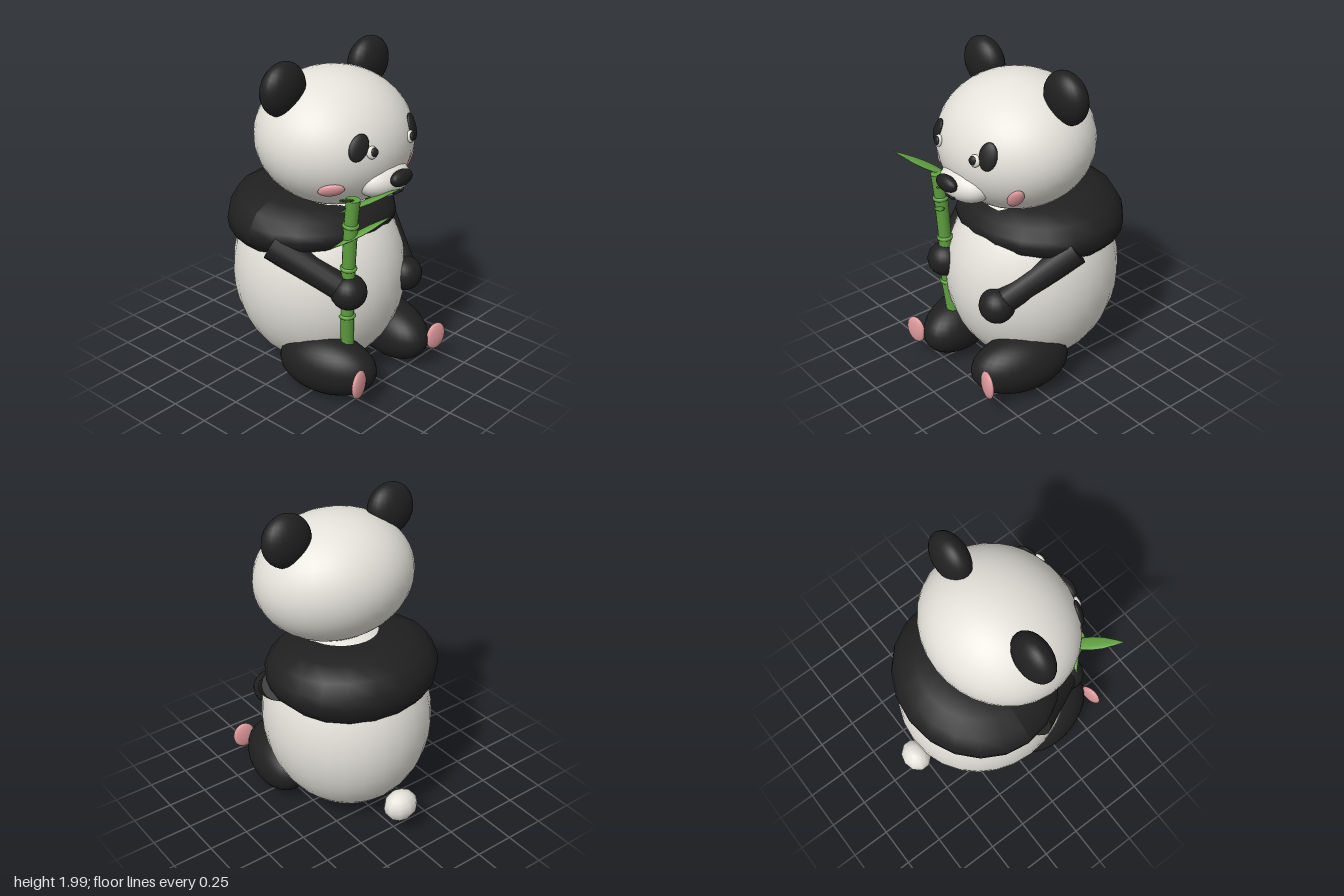
import * as THREE from 'three';

const V = (x, y, z) => new THREE.Vector3(x, y, z);
const paint = (name, color) => {
  const m = new THREE.MeshStandardMaterial({ color });
  m.name = name;
  return m;
};

export function createModel() {
  const white = paint('creamWhite', 0xe4e2da);
  const black = paint('softBlack', 0x202020);
  const pink = paint('pink', 0xe09a9e);
  const green = paint('bambooGreen', 0x5f9f40);
  const root = new THREE.Group();
  root.name = 'panda';

  const add = (name, geometry, material, position = V(0, 0, 0)) => {
    const mesh = new THREE.Mesh(geometry, material);
    mesh.name = name;
    mesh.position.copy(position);
    root.add(mesh);
    return mesh;
  };
  const blob = (name, material, position, radii, w = 28, h = 20) =>
    add(name, new THREE.SphereGeometry(1, w, h).scale(...radii), material, position);

  // Cylinder running from a to b
  const limb = (name, material, a, b, ra, rb, sides = 16) => {
    const d = b.clone().sub(a);
    const mesh = add(name, new THREE.CylinderGeometry(rb, ra, d.length(), sides), material,
      a.clone().add(b).multiplyScalar(0.5));
    mesh.quaternion.setFromUnitVectors(V(0, 1, 0), d.normalize());
    return mesh;
  };

  // Body and tail
  blob('body', white, V(-0.015, 0.62, 0), [0.54, 0.61, 0.51]);
  blob('tail', white, V(-0.56, 0.225, 0), [0.09, 0.098, 0.11], 10, 8);

  // Dark shoulder band: a rounded ring, thinner towards the chest
  const profile = [[0, -0.14], [0.3, -0.155], [0.42, -0.14], [0.475, -0.08], [0.485, -0.02],
    [0.475, 0.03], [0.43, 0.1], [0.33, 0.15], [0.2, 0.17], [0, 0.175]].map(p => new THREE.Vector2(...p));
  const band = new THREE.LatheGeometry(profile, 20);
  const bp = band.attributes.position;
  for (let i = 0; i < bp.count; i++) {
    bp.setY(i, bp.getY(i) * (1 - 0.5 * bp.getX(i)));
    bp.setZ(i, bp.getZ(i) * 1.1);
  }
  band.computeVertexNormals();
  add('shoulderBand', band, black, V(-0.07, 1.01, 0));

  // Head, tipped slightly forward
  const headCentre = V(0.105, 1.51, 0), headRadii = V(0.445, 0.382, 0.488), headTilt = -0.25;
  blob('head', white, headCentre, headRadii.toArray(), 32, 24).rotation.z = headTilt;

  // Flat detail laid on the face at height y and side z
  const onFace = (name, material, y, z, radii, spin = 0, lift = 0) => {
    const axis = V(0, 0, 1);
    const local = x => V(x, y, z).sub(headCentre).applyAxisAngle(axis, -headTilt).divide(headRadii);
    let lo = 0.1, hi = 0.8;
    for (let i = 0; i < 30; i++) {
      const mid = (lo + hi) / 2;
      if (local(mid).length() < 1) lo = mid; else hi = mid;
    }
    const n = local(lo).divide(headRadii).applyAxisAngle(axis, headTilt).normalize();
    const mesh = blob(name, material, V(lo, y, z).addScaledVector(n, lift), radii, 18, 12);
    mesh.quaternion.setFromUnitVectors(axis, n);
    mesh.rotateZ(spin);
  };

  // Muzzle, nose and mouth
  blob('muzzle', white, V(0.46, 1.335, 0), [0.13, 0.105, 0.185]);
  blob('nose', black, V(0.593, 1.37, 0), [0.04, 0.048, 0.085], 20, 14);
  const smile = new THREE.CatmullRomCurve3([V(0.57, 1.292, -0.045), V(0.575, 1.28, -0.03),
    V(0.577, 1.284, 0), V(0.575, 1.28, 0.03), V(0.57, 1.292, 0.045)]);
  add('mouth', new THREE.TubeGeometry(smile, 16, 0.008, 6), black);

  for (const s of [1, -1]) {
    const side = s > 0 ? 'right' : 'left';

    // Ears and face details
    const ear = blob(side + 'Ear', black, V(0.045, 1.845, 0.36 * s), [0.094, 0.155, 0.155], 24, 16);
    ear.rotation.z = -0.08;
    onFace(side + 'EyePatch', black, 1.58, 0.232 * s, [0.055, 0.08, 0.02], -0.35 * s);
    onFace(side + 'EyeWhite', white, 1.545, 0.167 * s, [0.034, 0.036, 0.02], 0, 0.006);
    onFace(side + 'Pupil', black, 1.547, 0.161 * s, [0.025, 0.026, 0.014], 0, 0.018);
    onFace(side + 'Cheek', pink, 1.34, 0.335 * s, [0.075, 0.042, 0.022], 0, 0.004);

    // Arms and paws
    const paw = s > 0 ? V(0.447, 0.71, 0.263) : V(0.45, 0.635, -0.25);
    limb(side + 'Arm', black, V(0.04, 0.95, 0.455 * s), paw, 0.095, 0.08);
    blob(side + 'Paw', black, paw, [0.105, 0.105, 0.108], 20, 14);

    // Legs turned slightly inwards, with foot pads
    const leg = blob(side + 'Leg', black, V(0.32, 0.203, 0.295 * s), [0.308, 0.183, 0.177]);
    leg.rotation.y = 0.25 * s;
    const pad = blob(side + 'FootPad', pink, V(0.617, 0.213, 0.365 * s), [0.024, 0.088, 0.073], 18, 12);
    pad.rotation.y = 0.2 * s;
  }

  // Bamboo stalk with ringed joints
  const joints = [V(0.42, 0.33, 0.238), V(0.435, 0.555, 0.262), V(0.442, 0.86, 0.262),
    V(0.457, 1.13, 0.265), V(0.473, 1.29, 0.266)];
  for (let i = 0; i < 4; i++) {
    const a = joints[i], b = joints[i + 1];
    limb('bambooSegment', green, a, b, 0.039, 0.041, 14);
    if (i === 0) continue;
    const ring = add('bambooJoint', new THREE.TorusGeometry(0.038, 0.012, 8, 16), green, a);
    ring.quaternion.setFromUnitVectors(V(0, 0, 1), b.clone().sub(a).normalize());
  }

  // Pointed, flattened leaves
  const leafProfile = [[0, -1], [0.5, -0.65], [0.9, -0.3], [1, 0], [0.85, 0.35], [0.45, 0.7], [0, 1]]
    .map(p => new THREE.Vector2(...p));
  const leaf = (a, b, width) => {
    const d = b.clone().sub(a), half = d.length() / 2;
    const geometry = new THREE.LatheGeometry(leafProfile, 12).scale(width, half, 0.011);
    const mesh = add('bambooLeaf', geometry, green, a.clone().add(b).multiplyScalar(0.5));
    d.normalize();
    const across = V(0, 1, 0).cross(d).normalize();
    mesh.quaternion.setFromRotationMatrix(
      new THREE.Matrix4().makeBasis(across, d, across.clone().cross(d)));
  };
  leaf(V(0.37, 1.24, 0.225), V(0.63, 1.4, 0.48), 0.042);
  leaf(V(0.36, 1.17, 0.275), V(0.635, 1.335, 0.045), 0.036);
  leaf(V(0.405, 1.005, 0.375), V(0.59, 1.16, 0.075), 0.032);

  return root;
}
